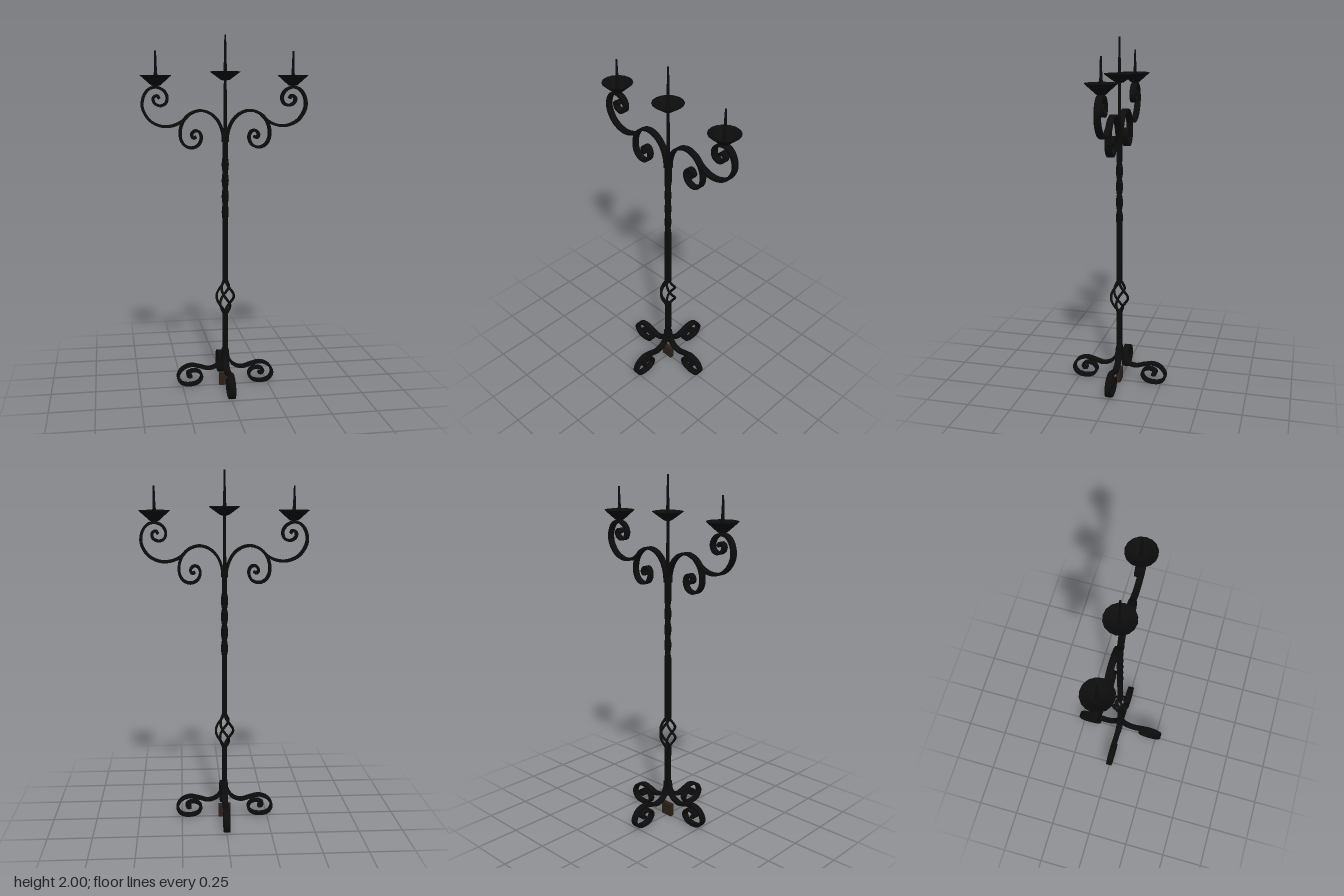
import * as THREE from 'three';

const iron = new THREE.MeshStandardMaterial({ color: 0x0c0c0c, side: THREE.DoubleSide });
iron.name = 'black iron';
const bronze = new THREE.MeshStandardMaterial({ color: 0x2a2118 });
bronze.name = 'dark brown';

function add(parent, name, geometry, material = iron) {
  const mesh = new THREE.Mesh(geometry, material);
  mesh.name = name;
  parent.add(mesh);
  return mesh;
}

// Flat iron strip: a curve in the xy plane thickened both ways and extruded in z
function strip(points, width = 0.035, half = 0.0075) {
  const curve = new THREE.CatmullRomCurve3(points.map(([x, y]) => new THREE.Vector3(x, y, 0)));
  const n = points.length * 5, left = [], right = [];
  for (let i = 0; i <= n; i++) {
    const p = curve.getPoint(i / n), t = curve.getTangent(i / n);
    left.push(new THREE.Vector2(p.x - t.y * half, p.y + t.x * half));
    right.push(new THREE.Vector2(p.x + t.y * half, p.y - t.x * half));
  }
  const shape = new THREE.Shape([...left, ...right.reverse()]);
  return new THREE.ExtrudeGeometry(shape, { depth: width, bevelEnabled: false }).translate(0, 0, -width / 2);
}

// Square bar between two heights
function bar(y0, y1, size, rows = 1) {
  return new THREE.BoxGeometry(size, y1 - y0, size, 1, rows, 1).translate(0, (y0 + y1) / 2, 0);
}

const lathe = (points, sides) =>
  new THREE.LatheGeometry(points.map(([x, y]) => new THREE.Vector2(x, y)), sides);

// Candle pan with its spike; y is the height of the rim
function candleHolder(x, rim, depth, spike) {
  const group = new THREE.Group();
  group.name = 'candleHolder';
  group.position.set(x, rim, 0);
  add(group, 'pan', lathe([[0.001, -depth], [0.024, -depth + 0.004], [0.05, -depth * 0.55],
    [0.085, -0.002], [0.085, 0], [0.05, -depth * 0.45], [0.024, -depth + 0.012], [0.001, -depth + 0.012]], 16));
  add(group, 'spike', lathe([[0.014, -depth], [0.01, 0], [0.007, spike * 0.4], [0.005, spike], [0, spike]], 8));
  return group;
}

export function createModel() {
  const model = new THREE.Group();
  model.name = 'candelabrum';

  // Stem: plain bars, a twisted length and a thin top rod
  const S = 0.028, T0 = 0.97, T1 = 1.33;
  add(model, 'lowerStem', bar(0.13, 0.45, S));
  add(model, 'middleStem', bar(0.62, T0, S));
  add(model, 'upperStem', bar(T1, 1.46, S));
  add(model, 'topRod', new THREE.CylinderGeometry(0.008, 0.01, 0.34, 8).translate(0, 1.61, 0));

  const twist = bar(T0, T1, S, 40);
  const pos = twist.attributes.position;
  for (let i = 0; i < pos.count; i++) {
    const a = ((pos.getY(i) - T0) / (T1 - T0)) * Math.PI * 2;
    const x = pos.getX(i), z = pos.getZ(i);
    pos.setXYZ(i, x * Math.cos(a) - z * Math.sin(a), pos.getY(i), x * Math.sin(a) + z * Math.cos(a));
  }
  twist.computeVertexNormals();
  add(model, 'twistedStem', twist);

  // Open basket of four spiralling rods
  for (let k = 0; k < 4; k++) {
    const path = [];
    for (let i = 0; i <= 16; i++) {
      const t = i / 16, a = (k / 2 + t) * Math.PI;
      const r = 0.007 + 0.043 * Math.sin(Math.PI * t) ** 1.3;
      path.push(new THREE.Vector3(r * Math.cos(a), 0.425 + 0.21 * t, r * Math.sin(a)));
    }
    add(model, 'basketRod', new THREE.TubeGeometry(new THREE.CatmullRomCurve3(path), 32, 0.0075, 6));
  }

  // Four scrolled feet
  const foot = strip([[0.01, 0.22], [0.018, 0.165], [0.045, 0.125], [0.095, 0.106], [0.15, 0.12],
    [0.205, 0.13], [0.255, 0.108], [0.277, 0.062], [0.255, 0.024], [0.205, 0.013], [0.157, 0.027],
    [0.139, 0.06], [0.157, 0.09], [0.195, 0.096], [0.222, 0.08], [0.215, 0.062], [0.195, 0.064]]);
  for (let k = 0; k < 4; k++) add(model, 'foot', foot).rotation.y = k * Math.PI / 2;

  // Small plate between the feet
  add(model, 'basePlate', new THREE.BoxGeometry(0.072, 0.075, 0.025).translate(0, 0.0385, 0), bronze);

  // Two arms, each of an inner and an outer scroll
  const innerScroll = strip([[0.01, 1.42], [0.014, 1.47], [0.04, 1.535], [0.085, 1.578], [0.145, 1.593],
    [0.21, 1.565], [0.246, 1.505], [0.248, 1.44], [0.225, 1.402], [0.187, 1.389], [0.15, 1.405],
    [0.134, 1.445], [0.147, 1.478], [0.172, 1.482], [0.188, 1.46], [0.178, 1.442], [0.162, 1.45]]);
  const outerScroll = strip([[0.205, 1.568], [0.24, 1.535], [0.29, 1.512], [0.35, 1.509], [0.415, 1.54],
    [0.455, 1.61], [0.446, 1.675], [0.415, 1.712], [0.375, 1.719], [0.337, 1.7], [0.32, 1.665],
    [0.33, 1.632], [0.36, 1.62], [0.39, 1.635], [0.395, 1.662], [0.375, 1.675], [0.362, 1.658]]);
  for (const side of [0, 1]) {
    const arm = new THREE.Group();
    arm.name = side ? 'rightArm' : 'leftArm';
    arm.rotation.y = side * Math.PI;
    add(arm, 'innerScroll', innerScroll);
    add(arm, 'outerScroll', outerScroll);
    arm.add(candleHolder(0.381, 1.785, 0.06, 0.13));
    model.add(arm);
  }
  model.add(candleHolder(0, 1.805, 0.05, 0.195));

  return model;
}
